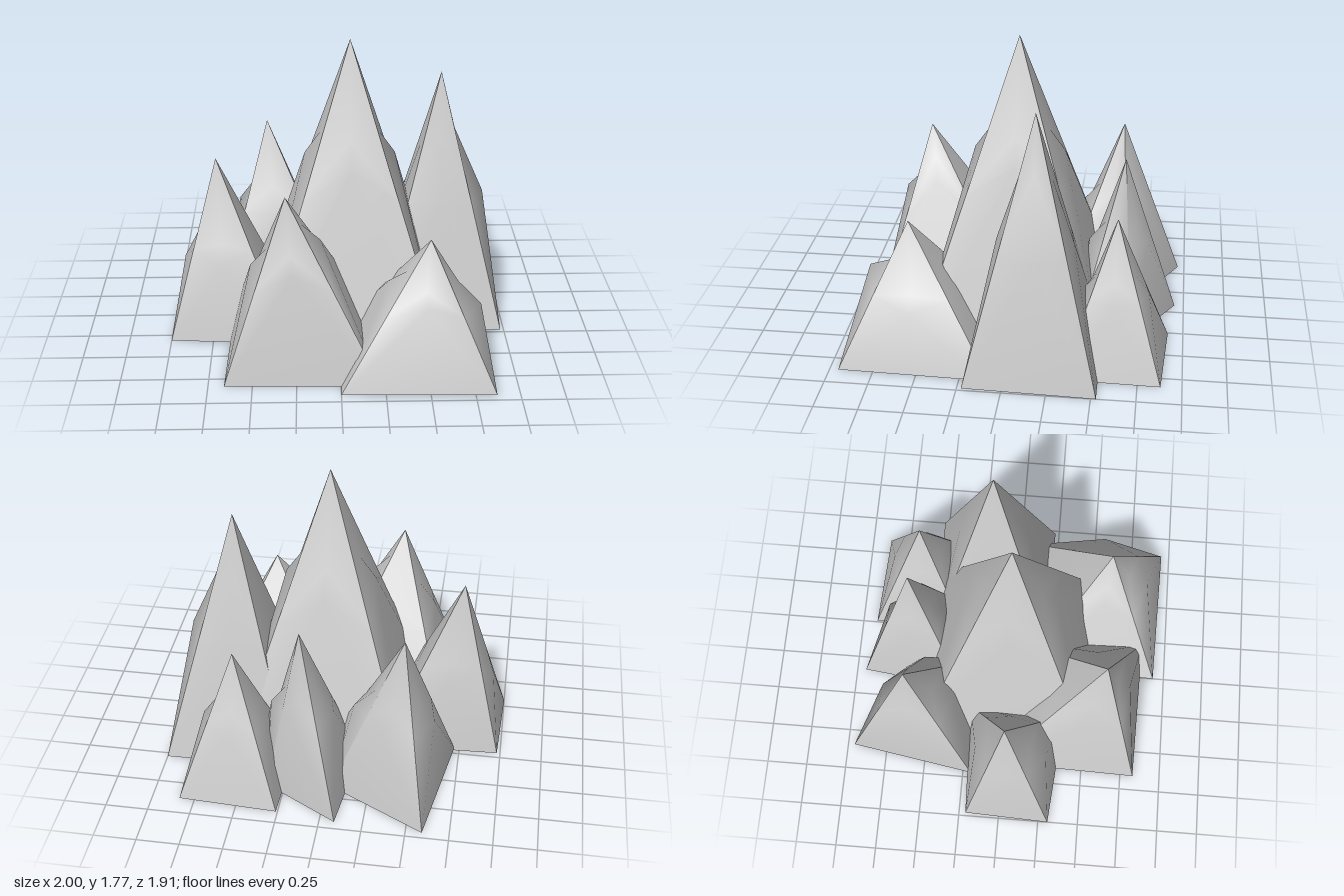
import * as THREE from 'three';
import { mergeGeometries } from 'three/addons/utils/BufferGeometryUtils.js';

// Each peak: apex [x, height, z]; base corners [x, z] in the order front left,
// front right, back right, back left (as seen from the front); and bulges
// [height fraction, outward push, gap up to where it starts], either one for
// all sides or one each for the front, right, back and left side.
const PEAKS = [
  { name: 'centralPeak', apex: [0.07, 1.775, 0], bulges: [[0.61, 0.05, 0.07]],
    base: [[-0.48, 0.53], [0.62, 0.56], [0.62, -0.55], [-0.48, -0.56]] },
  { name: 'tallLeftPeak', apex: [0.612, 1.525, -0.15],
    bulges: [[0.5, 0.03, 0.25], [0.5, 0.08, 0.27], [0.5, 0.03, 0.25], [0.5, 0.02, 0.2]],
    base: [[0.22, 0.23], [0.98, 0.225], [1.0, -0.53], [0.24, -0.52]] },
  { name: 'frontLeftPeak', apex: [0.51, 0.79, 0.59],
    bulges: [[0.61, 0.1, 0.05], [0.46, 0.1, 0.05], [0.5, 0.02, 0.1], [0.67, 0.06, 0.07]],
    base: [[0, 0.93], [0.87, 0.95], [0.89, 0.08], [0.02, 0.1]] },
  { name: 'frontRightPeak', apex: [-0.305, 1.055, 0.585],
    bulges: [[0.62, 0.06, 0.07], [0.73, 0.055, 0.1], [0.5, 0.02, 0.1], [0.57, 0.055, 0.1]],
    base: [[-0.66, 0.83], [0.23, 0.85], [0.2, -0.05], [-0.64, -0.05]] },
  { name: 'rightPeak', apex: [-0.72, 1.055, 0.02],
    bulges: [[0.45, 0.07, 0.08], [0.45, 0.02, 0.08], [0.45, 0.05, 0.08], [0.41, 0.04, 0.08]],
    base: [[-1.0, 0.31], [-0.3, 0.37], [-0.28, -0.24], [-0.98, -0.21]] },
  { name: 'backRightPeak', apex: [-0.433, 1.06, -0.59], bulges: [[0.5, 0.07, 0.12]],
    base: [[-0.72, -0.2], [0.04, -0.21], [-0.02, -0.65], [-0.594, -0.96]] },
  { name: 'backMiddlePeak', apex: [0.155, 1.08, -0.625], bulges: [[0.52, 0.06, 0.1]],
    base: [[-0.16, -0.31], [0.44, -0.36], [0.356, -0.69], [-0.086, -0.945]] },
  { name: 'backLeftPeak', apex: [0.545, 0.885, -0.605], bulges: [[0.5, 0.04, 0.1]],
    base: [[0.24, -0.33], [0.83, -0.32], [0.84, -0.88], [0.26, -0.91]] },
];

// One sloping side: flat above, with a soft bulge around mid-height
function sideGeometry(apex, c0, c1, [frac, push, gap]) {
  const foot = c0.clone().lerp(c1, 0.5);
  const edge = c1.clone().sub(c0);
  const out = new THREE.Vector3(-edge.z, 0, edge.x).normalize();
  const e0 = c0.clone().lerp(apex, 0.5);
  const e1 = c1.clone().lerp(apex, 0.5);
  const brow = foot.clone().lerp(apex, frac + gap);
  const bulge = foot.clone().lerp(apex, frac).addScaledVector(out, push);
  const g = new THREE.BufferGeometry().setFromPoints([apex, c0, c1, e0, e1, brow, bulge]);
  g.setIndex([0, 3, 5, 0, 5, 4, 5, 3, 6, 5, 6, 4, 3, 1, 6, 1, 2, 6, 2, 4, 6]);
  g.computeVertexNormals();
  return g;
}

export function createModel() {
  const group = new THREE.Group();
  group.name = 'rockPeaks';
  const rock = new THREE.MeshStandardMaterial({ color: 0xcccccc, side: THREE.DoubleSide });

  // Open-bottomed four-sided peaks, sharp along the ridges
  for (const { name, apex, base, bulges } of PEAKS) {
    const top = new THREE.Vector3(...apex);
    const corners = base.map(([x, z]) => new THREE.Vector3(x, 0, z));
    const sides = corners.map((c, i) =>
      sideGeometry(top, c, corners[(i + 1) % 4], bulges[i % bulges.length]));
    const mesh = new THREE.Mesh(mergeGeometries(sides), rock);
    mesh.name = name;
    group.add(mesh);
  }
  return group;
}
